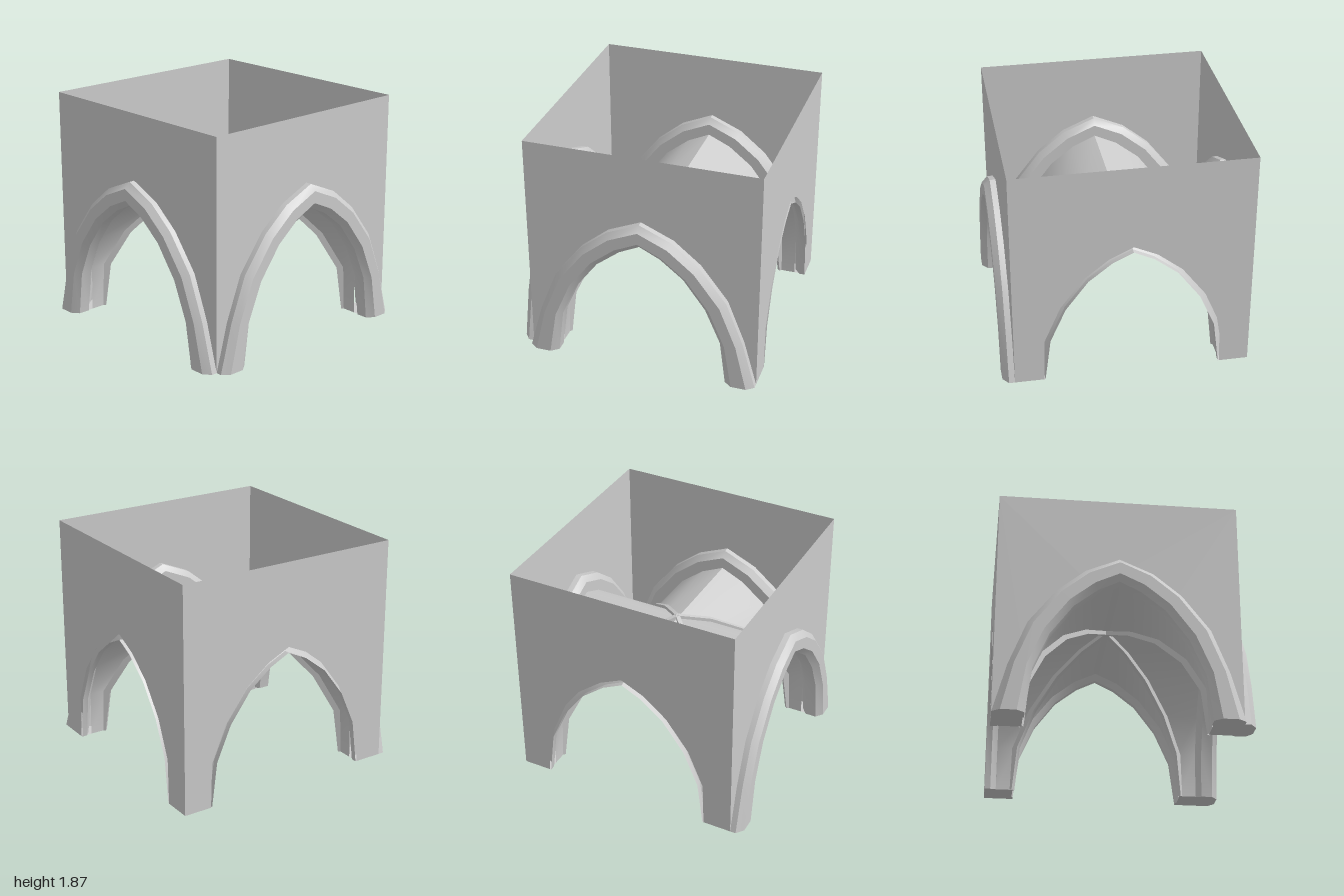
import * as THREE from 'three';
import { toCreasedNormals } from 'three/addons/utils/BufferGeometryUtils.js';

const W = 0.9525;      // half width of the bay, wall to wall
const HEIGHT = 1.87;
const R = 0.095;       // half depth of an arch rib
const POST = 0.717;    // inner corner of the four feet

// Half arches from crown to foot: inner and outer edge of the ribs
const INNER = [[0, 1.13], [0.165, 1.05], [0.355, 0.9], [0.535, 0.657], [0.66, 0.37], [0.707, 0]];
const OUTER = [[0, 1.325], [0.265, 1.21], [0.485, 1.03], [0.705, 0.745], [0.845, 0.39], [0.9525, 0]];

// Half arch at fraction t between the inner and the outer edge
const arch = (t) => INNER.map(([x, y], i) => [
  x + (OUTER[i][0] - x) * t, y + (OUTER[i][1] - y) * t]);

// Vault line: springs almost upright from the feet
const VAULT = arch(0.25).map(([x, y]) => [Math.min(x, POST), y]);

// Mirror a half arch into a whole one, left foot to right foot
const mirror = (half) => [...half.slice(1).reverse().map(([x, y]) => [-x, y]), ...half];

const material = new THREE.MeshStandardMaterial({ color: 0xcccccc, side: THREE.DoubleSide });

function add(parent, name, geometry) {
  const mesh = new THREE.Mesh(geometry, material);
  mesh.name = name;
  parent.add(mesh);
}

// Surface through rows of points; each row may be closed into a ring.
// Gentle bends are smooth, chamfers and the crown stay sharp.
function loft(rows, closed) {
  const n = rows[0].length, index = [];
  for (let i = 0; i < rows.length - 1; i++) {
    for (let j = 0; j < (closed ? n : n - 1); j++) {
      const k = (j + 1) % n;
      const a = i * n + j, b = i * n + k, c = a + n, d = b + n;
      index.push(a, c, b, b, c, d);
    }
  }
  const geometry = new THREE.BufferGeometry();
  geometry.setAttribute('position', new THREE.Float32BufferAttribute(rows.flat(2), 3));
  geometry.setIndex(index);
  return toCreasedNormals(geometry, 0.6);
}

const polygon = (points) => new THREE.ShapeGeometry(
  new THREE.Shape(points.map(([x, y]) => new THREE.Vector2(x, y))));

// Horizontal polygon on the ground from (x, z) points, facing down
const groundCap = (points) => polygon(points).rotateX(Math.PI / 2);

// Rib section as [depth, t]: an octagon, or its inner half left open at the wall
const HALF = [[0, 0], [-R / 2, 0], [-R, 0.25], [-R, 0.75], [-R / 2, 1], [0, 1]];
const FULL = [[R / 2, 1], [R, 0.75], [R, 0.25], [R / 2, 0],
  [-R / 2, 0], [-R, 0.25], [-R, 0.75], [-R / 2, 1]];

function makeSide(name, section, closed) {
  const side = new THREE.Group();
  side.name = name;

  // Wall sheet with the pointed opening
  const outline = [[-W, HEIGHT], [-W, 0], ...mirror(VAULT), [W, 0], [W, HEIGHT]];
  add(side, 'wall', polygon(outline).translate(0, 0, W));

  // Chamfered arch rib and its feet
  const curves = section.map(([, t]) => mirror(arch(t)));
  const rows = curves[0].map((_, i) => section.map(([d], j) => [...curves[j][i], W + d]));
  add(side, 'archRib', loft(rows, closed));
  for (const row of [rows[0], rows[rows.length - 1]]) {
    add(side, 'ribFoot', groundCap(row.map(([x, , z]) => [x, z])));
  }

  // Vault web, from the two groins to the rib
  const web = mirror(VAULT).map(([x, y]) => [[x, y, Math.abs(x)], [x, y, W - R]]);
  add(side, 'vaultWeb', loft(web, false));

  // Corner foot
  add(side, 'cornerFoot', groundCap([[POST, POST], [W, POST], [W, W], [POST, W]]));

  // Slim diagonal rib along the groin, from the crown to the corner
  const w = 0.012;
  const low = arch(0.1), high = arch(0.42);
  const groin = low.map(([x, y], i) => {
    const o = Math.min(x, POST - 0.004), p = Math.min(high[i][0], POST + 0.015), h = high[i][1];
    return [[o - w, y, o + w], [o + w, y, o - w], [p + w, h, p - w], [p - w, h, p + w]];
  });
  add(side, 'diagonalRib', loft(groin, true));
  return side;
}

export function createModel() {
  const bay = new THREE.Group();
  bay.name = 'vaultedBay';
  const sides = [
    ['frontSide', FULL, 0], ['leftSide', HALF, 1],
    ['backSide', HALF, 2], ['rightSide', FULL, 3],
  ];
  for (const [name, section, turn] of sides) {
    const side = makeSide(name, section, section === FULL);
    side.rotation.y = turn * Math.PI / 2;
    bay.add(side);
  }
  // The outer ribs project on two sides only, so the bay sits off centre
  bay.position.set(R / 2, 0, -R / 2);
  const model = new THREE.Group();
  model.add(bay);
  return model;
}
